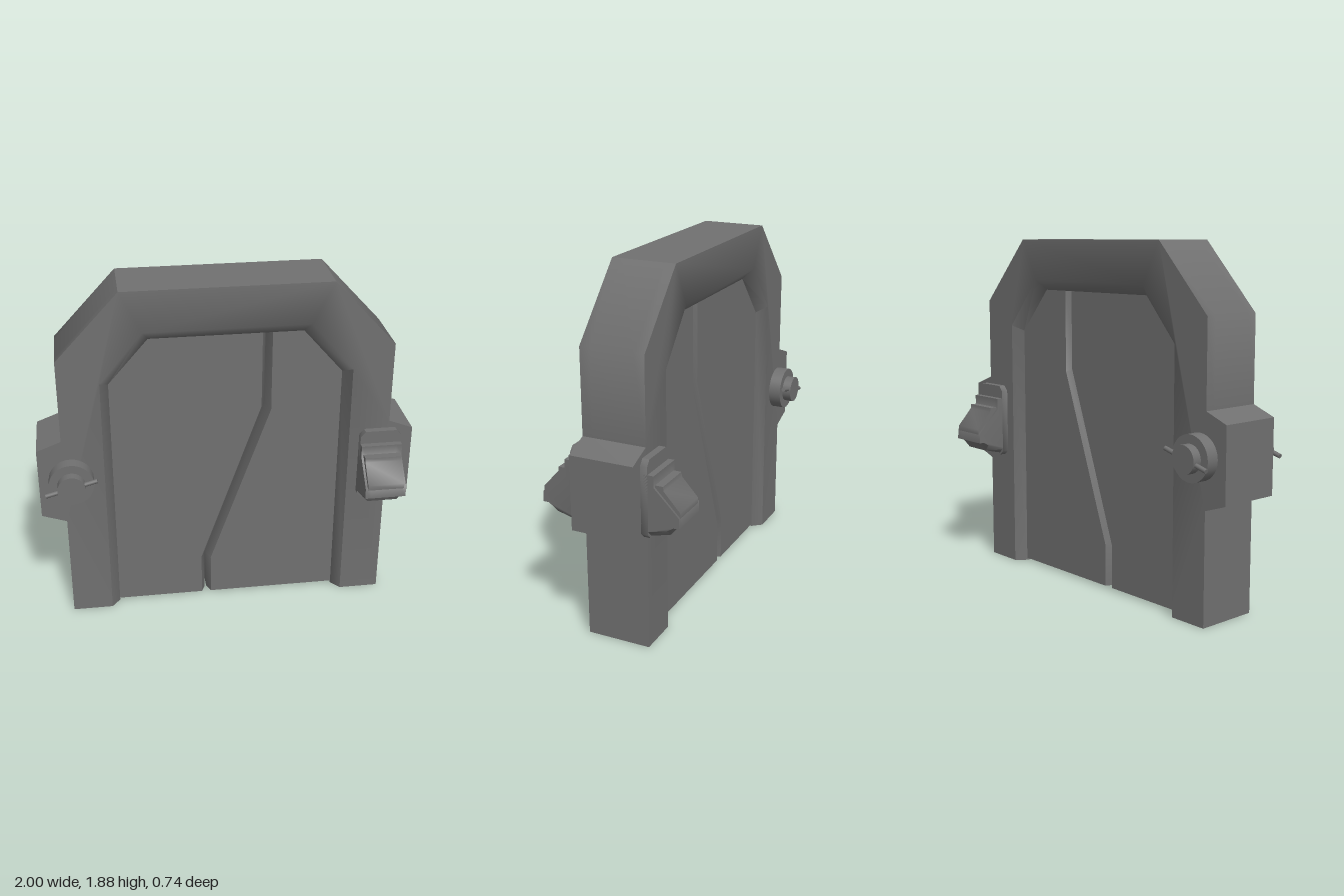
import * as THREE from 'three';
import { toCreasedNormals } from 'three/addons/utils/BufferGeometryUtils.js';

const material = new THREE.MeshStandardMaterial({ color: 0x707070, side: THREE.DoubleSide });
const FLOOR = 0.013; // outline edges lying at or below this height stay open

// Shell through matching counter-clockwise outlines, given as [z, points] with z rising
function loft(name, sections) {
  const pos = [];
  const tri = (...vs) => vs.forEach((v) => pos.push(...v));
  const rings = sections.map(([z, pts]) => pts.map(([x, y]) => [x, y, z]));
  for (let s = 0; s < rings.length - 1; s++) {
    const a = rings[s], b = rings[s + 1];
    for (let i = 0; i < a.length; i++) {
      const j = (i + 1) % a.length;
      if (Math.max(a[i][1], a[j][1]) <= FLOOR) continue;
      tri(a[i], a[j], b[j]);
      tri(a[i], b[j], b[i]);
    }
  }
  const cap = (ring, flip) => {
    const flat = ring.map(([x, y]) => new THREE.Vector2(x, y));
    for (const [i, j, k] of THREE.ShapeUtils.triangulateShape(flat, [])) {
      if (flip) tri(ring[i], ring[k], ring[j]);
      else tri(ring[i], ring[j], ring[k]);
    }
  };
  cap(rings[0], true);
  cap(rings[rings.length - 1], false);
  const geo = new THREE.BufferGeometry();
  geo.setAttribute('position', new THREE.Float32BufferAttribute(pos, 3));
  const mesh = new THREE.Mesh(toCreasedNormals(geo, 0.8), material);
  mesh.name = name;
  return mesh;
}

// Same faces front and back, with a different outline in the middle
const bevelled = (name, face, core, zFace, zCore) =>
  loft(name, [[-zFace, face], [-zCore, core], [zCore, core], [zFace, face]]);

const mirrorX = (pts) => pts.map(([x, y]) => [-x, y]).reverse();

// Arch with side bosses; the opening narrows from the face to the core
function frameOutline(jamb, shoulder, lintel, top) {
  const half = [
    [jamb, 0], [0.87, 0], [0.87, 0.59], [1, 0.635], [1, 1.025],
    [0.87, 1.075], [0.87, 1.522], [0.54, 1.876],
  ];
  return [
    ...half, ...mirrorX(half),
    [-jamb, shoulder], [-lintel, top], [lintel, top], [jamb, shoulder],
  ];
}

// Door leaf outlines meet along the slanted seam; d shifts the seam sideways
const seam = (d) => [[-0.115 + d, FLOOR], [-0.115 + d, 0.247 - d * 0.2],
  [0.212 + d, 1.17 - d * 0.4], [0.212 + d, 1.62]];
const leftLeaf = (d) => [[0.625, FLOOR], [0.625, 1.365], [0.405, 1.62], ...seam(d).reverse()];
const rightLeaf = (d) => [...seam(d), [-0.405, 1.62], [-0.625, 1.365], [-0.625, FLOOR]];

// Control box with a stepped plate, sloping hood and raised panel
function controlBox() {
  const g = new THREE.Group();
  g.name = 'controlBox';
  const plate = [
    [0.11, 0.655], [0.11, 1.005], [0.085, 1.035], [-0.085, 1.035],
    [-0.11, 1.005], [-0.11, 0.655], [-0.085, 0.63], [0.085, 0.63],
  ];
  g.add(loft('backPlate', [[0.16, plate], [0.207, plate]]));

  // Side profiles: [distance out, height]
  const hood = (lipY, lowY) => [
    [0.16, lowY], [0.31, lipY], [0.34, 0.72], [0.37, 0.72], [0.368, 0.775],
    [0.24, 0.905], [0.24, 0.965], [0.16, 0.965],
  ];
  const body = bevelled('hood', hood(0.7, 0.66), hood(0.667, 0.63), 0.11, 0.08);
  const panel = [
    [0.23, 0.89], [0.345, 0.77], [0.37, 0.77], [0.37, 0.798], [0.285, 0.892], [0.282, 0.915], [0.23, 0.915],
  ];
  const raised = loft('raisedPanel', [[-0.098, panel], [0.098, panel]]);
  for (const m of [body, raised]) {
    m.rotation.y = -Math.PI / 2;
    g.add(m);
  }
  return g;
}

// Round dial with a cross pin
function dial(tilt) {
  const g = new THREE.Group();
  g.name = 'dial';
  const disc = (name, r, z0, z1) => {
    const m = new THREE.Mesh(new THREE.CylinderGeometry(r, r, z1 - z0, 32), material);
    m.name = name;
    m.rotation.x = Math.PI / 2;
    m.position.z = (z0 + z1) / 2;
    g.add(m);
  };
  disc('dialBase', 0.118, 0.16, 0.238);
  disc('dialKnob', 0.073, 0.23, 0.287);
  const pin = new THREE.Mesh(new THREE.CylinderGeometry(0.012, 0.012, 0.28, 12), material);
  pin.name = 'dialPin';
  pin.rotation.z = Math.PI / 2 + tilt;
  pin.position.z = 0.267;
  g.add(pin);
  return g;
}

export function createModel() {
  const model = new THREE.Group();
  model.name = 'slidingDoor';

  model.add(bevelled('frame',
    frameOutline(0.655, 1.39, 0.43, 1.655),
    frameOutline(0.61, 1.36, 0.4, 1.6), 0.17, 0.115));

  // Leaves with chamfered seam edges and a thin gap between them
  model.add(bevelled('leftDoor', leftLeaf(0.026), leftLeaf(0.004), 0.115, 0.065));
  model.add(bevelled('rightDoor', rightLeaf(-0.026), rightLeaf(-0.004), 0.115, 0.065));

  // Fittings on both faces
  for (const side of [1, -1]) {
    const box = controlBox();
    box.position.x = 0.82;
    const knob = dial(side * 0.26);
    knob.position.set(-0.83, 0.85, 0);
    for (const part of [box, knob]) {
      part.rotation.y = side > 0 ? 0 : Math.PI;
      model.add(part);
    }
  }
  return model;
}
